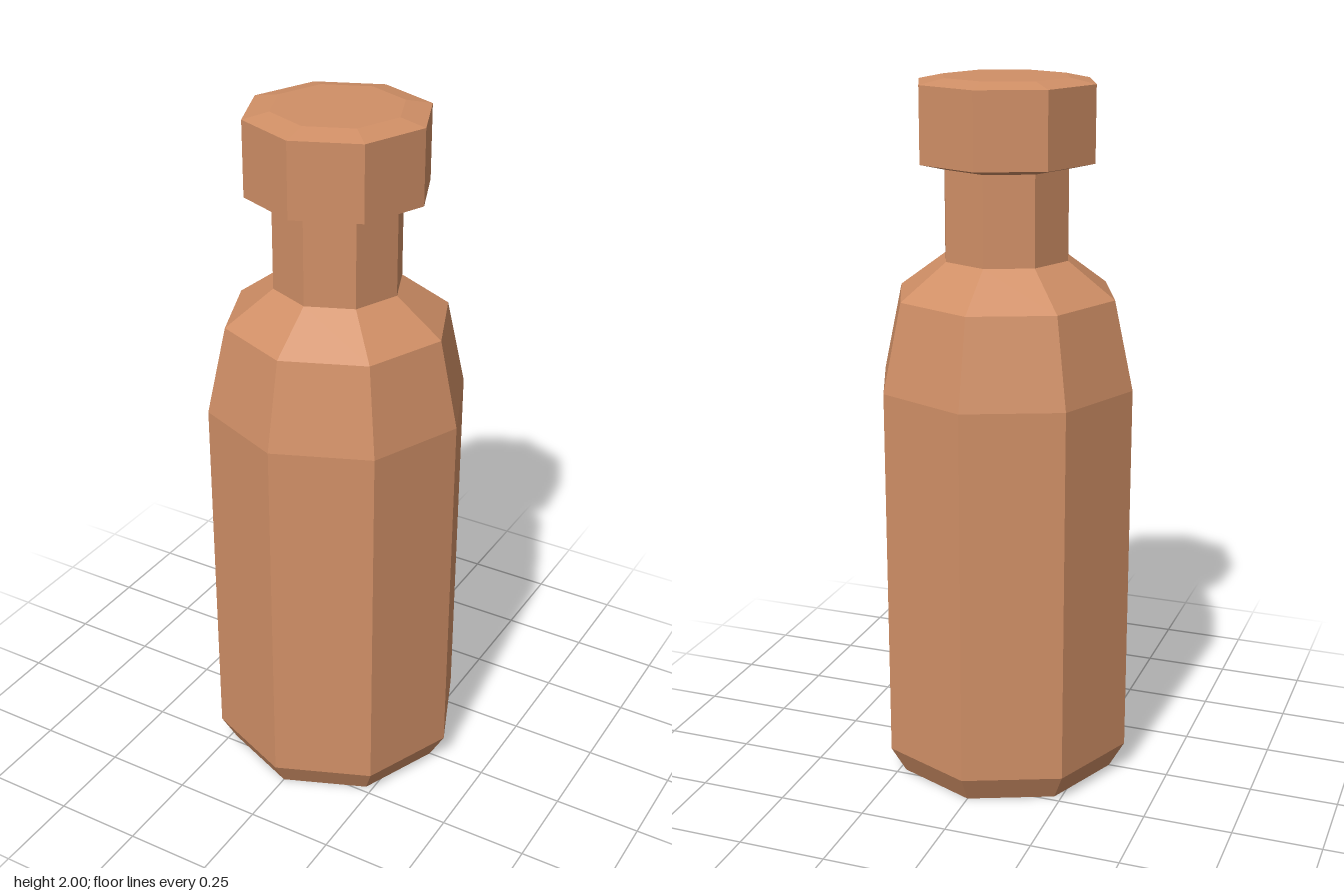
import * as THREE from 'three';

const SIDES = 8;

// Faceted turned part from [radius, height] pairs, listed bottom to top
function turned(name, profile, material) {
  const points = profile.map(([r, y]) => new THREE.Vector2(r, y));
  const mesh = new THREE.Mesh(new THREE.LatheGeometry(points, SIDES), material);
  mesh.name = name;
  return mesh;
}

export function createModel() {
  const group = new THREE.Group();
  group.name = 'bottle';
  const material = new THREE.MeshStandardMaterial({ color: 0xd08f66, flatShading: true });

  // Body with bevelled base, tapered upper wall and sloped shoulder
  group.add(turned('body', [
    [0, 0], [0.325, 0], [0.37, 0.08], [0.37, 1.16], [0.315, 1.41], [0.18, 1.51],
  ], material));

  // Straight neck
  group.add(turned('neck', [[0.18, 1.51], [0.18, 1.76]], material));

  // Cap with shallow bevels below and above
  group.add(turned('cap', [
    [0.18, 1.76], [0.253, 1.777], [0.253, 1.985], [0.18, 2], [0, 2],
  ], material));

  return group;
}
